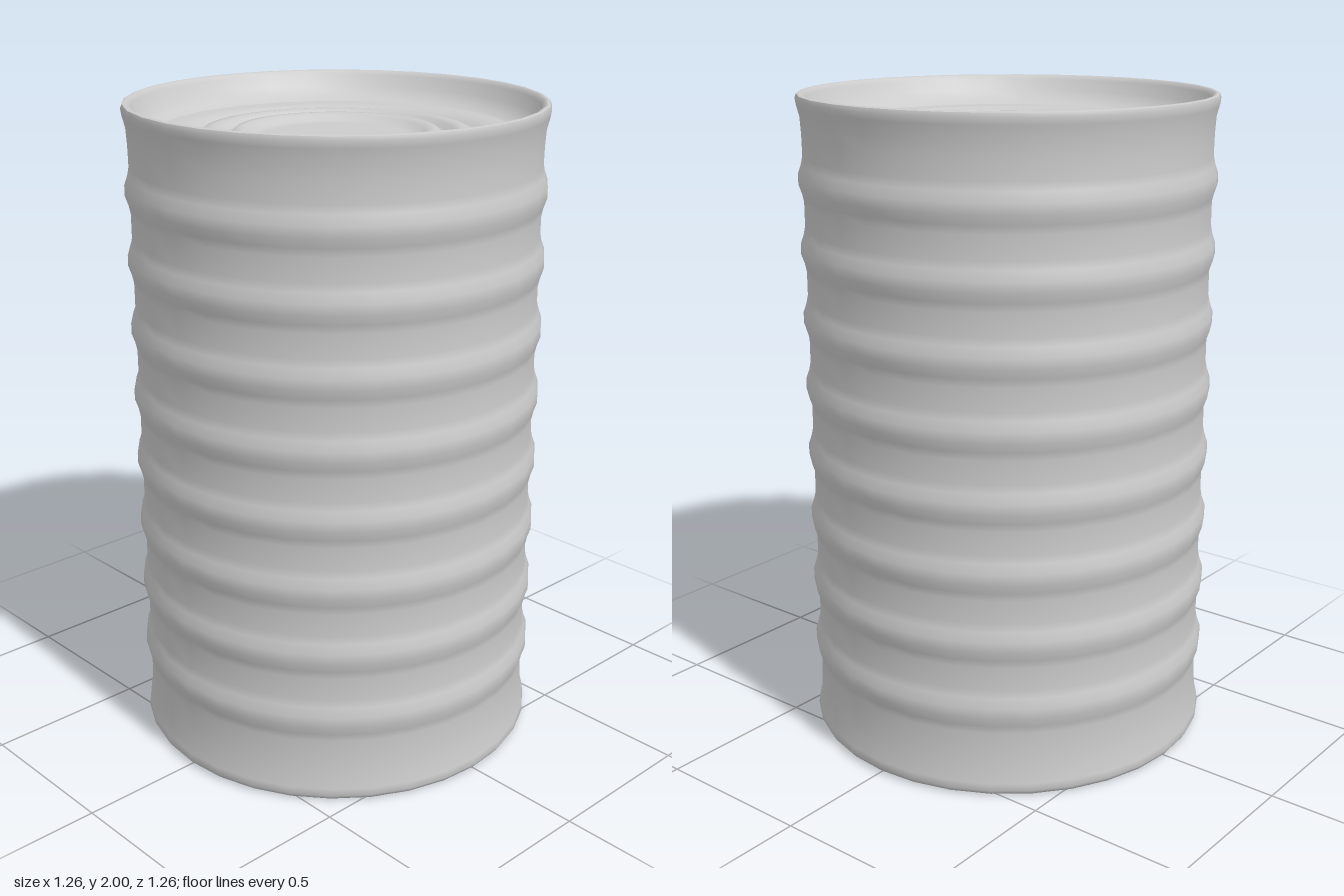
import * as THREE from 'three';

const SIDES = 32;

export function createModel() {
  const group = new THREE.Group();
  group.name = 'tinCan';
  const material = new THREE.MeshStandardMaterial({ color: 0xcccccc, side: THREE.DoubleSide });
  const lathe = (name, pairs) => {
    const points = pairs.map(([r, y]) => new THREE.Vector2(r, y));
    const mesh = new THREE.Mesh(new THREE.LatheGeometry(points, SIDES), material);
    mesh.name = name;
    group.add(mesh);
  };

  // Ribbed wall: bottom edge, eight ribs, top edge
  const wall = [[0.6, 0], [0.62, 0.004], [0.629, 0.018], [0.627, 0.04], [0.618, 0.08], [0.615, 0.14]];
  for (let i = 0; i < 8; i++) {
    const y = 0.27 + i * 0.211;
    wall.push([0.614, y - 0.07], [0.619, y - 0.045], [0.629, y - 0.016],
      [0.629, y + 0.016], [0.619, y + 0.045], [0.614, y + 0.07]);
  }
  wall.push([0.615, 1.88], [0.618, 1.93], [0.627, 1.965], [0.63, 1.985], [0.626, 1.997]);
  lathe('ribbedWall', wall);

  // Rolled rim and the sloping wall down into the recess
  lathe('rim', [[0.626, 1.997], [0.619, 2], [0.61, 1.997], [0.602, 1.985],
    [0.585, 1.95], [0.56, 1.922], [0.53, 1.91]]);

  // Sunken lid with two pressed rings around a flat centre
  lathe('lid', [[0.53, 1.91], [0.49, 1.909], [0.455, 1.907], [0.44, 1.894], [0.425, 1.889],
    [0.41, 1.897], [0.395, 1.91], [0.37, 1.913], [0.35, 1.908], [0.338, 1.892], [0.325, 1.889],
    [0.314, 1.9], [0.3, 1.912], [0.28, 1.913], [0.262, 1.906], [0.245, 1.894],
    [0.22, 1.89], [0, 1.89]]);

  // Flat base
  lathe('base', [[0, 0], [0.6, 0]]);

  return group;
}
